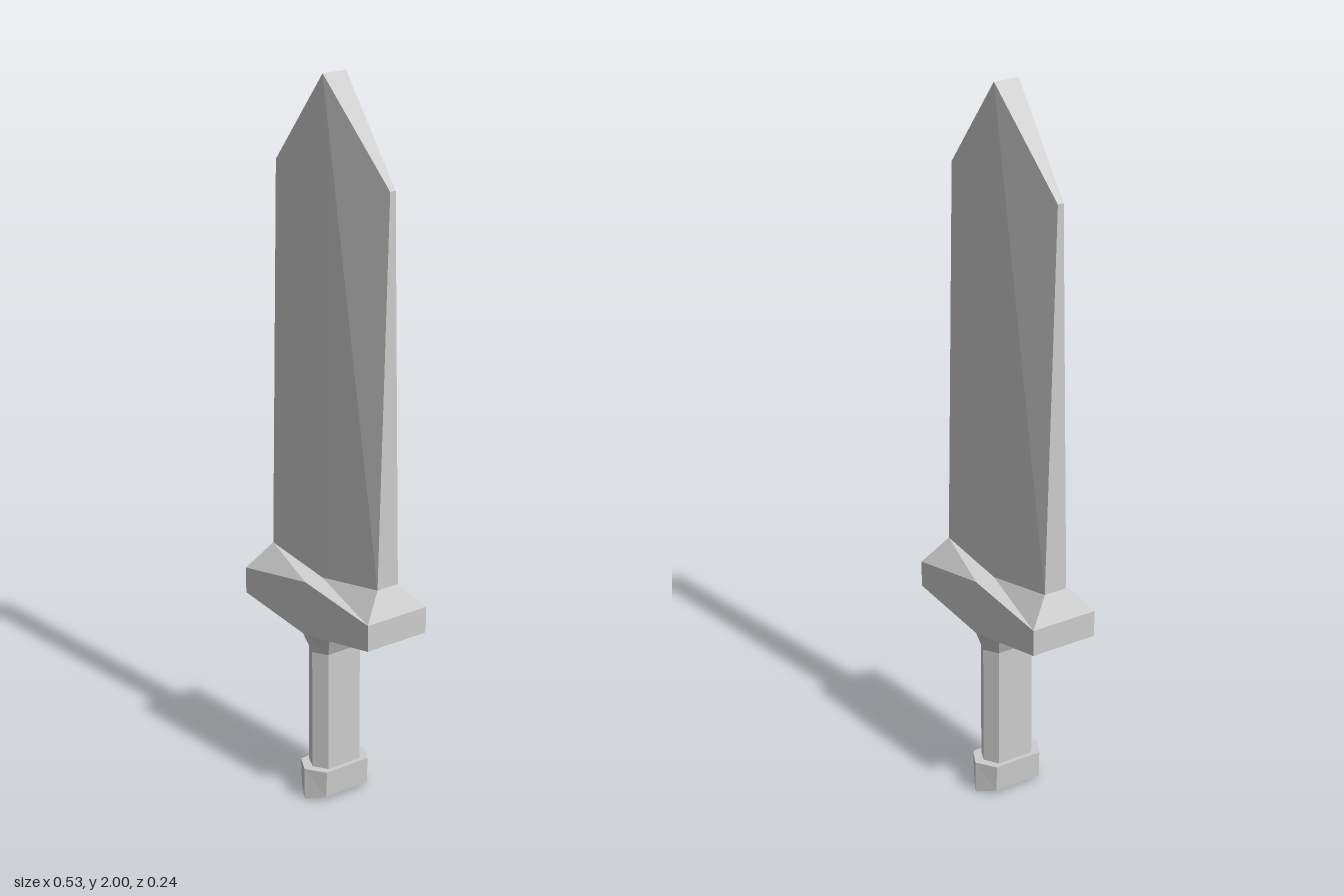
import * as THREE from 'three';

// Six-sided cross-section: four corners (x, z at height y) plus a front and back midpoint (zMid at height yMid)
function ring(y, x, z, zMid, yMid = y) {
  return [[-x, y, -z], [0, yMid, -zMid], [x, y, -z], [x, y, z], [0, yMid, zMid], [-x, y, z]];
}

// Skins a stack of rings from bottom to top, with optional end caps
function loft(name, material, rings, capBottom, capTop) {
  const pos = [];
  const quad = (a, b, c, d) => pos.push(...a, ...b, ...c, ...a, ...c, ...d);
  for (let r = 0; r < rings.length - 1; r++) {
    const lo = rings[r], hi = rings[r + 1];
    for (let i = 0; i < 6; i++) {
      const j = (i + 1) % 6;
      quad(lo[i], hi[i], hi[j], lo[j]);
    }
  }
  if (capBottom) {
    const b = rings[0];
    quad(b[0], b[1], b[4], b[5]);
    quad(b[1], b[2], b[3], b[4]);
  }
  if (capTop) {
    const t = rings[rings.length - 1];
    quad(t[1], t[0], t[5], t[4]);
    quad(t[1], t[4], t[3], t[2]);
  }
  const geometry = new THREE.BufferGeometry();
  geometry.setAttribute('position', new THREE.Float32BufferAttribute(pos, 3));
  geometry.computeVertexNormals();
  const mesh = new THREE.Mesh(geometry, material);
  mesh.name = name;
  return mesh;
}

export function createModel() {
  const group = new THREE.Group();
  group.name = 'sword';
  const steel = new THREE.MeshStandardMaterial({ color: 0xcccccc });
  steel.name = 'light grey';

  // Rings shared by neighbouring parts
  const bladeBase = ring(0.67, 0.221, 0.035, 0.041, 0.638);
  const gripTop = ring(0.487, 0.066, 0.07, 0.1);
  const gripBottom = ring(0.09, 0.042, 0.055, 0.077);

  // Blade: edges thin toward the shoulders, the middle runs up to a chisel tip
  group.add(loft('blade', steel, [bladeBase, ring(1.735, 0.23, 0.009, 0.038, 2)], false, true));

  // Crossguard with sloped top and underside
  group.add(loft('guard', steel, [
    gripTop,
    ring(0.527, 0.26, 0.1, 0.1, 0.487),
    ring(0.6, 0.26, 0.1, 0.1, 0.64),
    bladeBase,
  ], false, false));

  // Grip flaring into the guard
  group.add(loft('grip', steel, [gripBottom, ring(0.43, 0.042, 0.055, 0.077), gripTop], false, false));

  // Pommel with a shallow keel underneath
  group.add(loft('pommel', steel, [
    ring(0.015, 0.053, 0.072, 0.105, 0),
    ring(0.09, 0.057, 0.072, 0.105),
  ], true, true));

  // The whole sword is turned slightly about its length
  for (const part of group.children) part.rotation.y = -0.079;
  return group;
}
